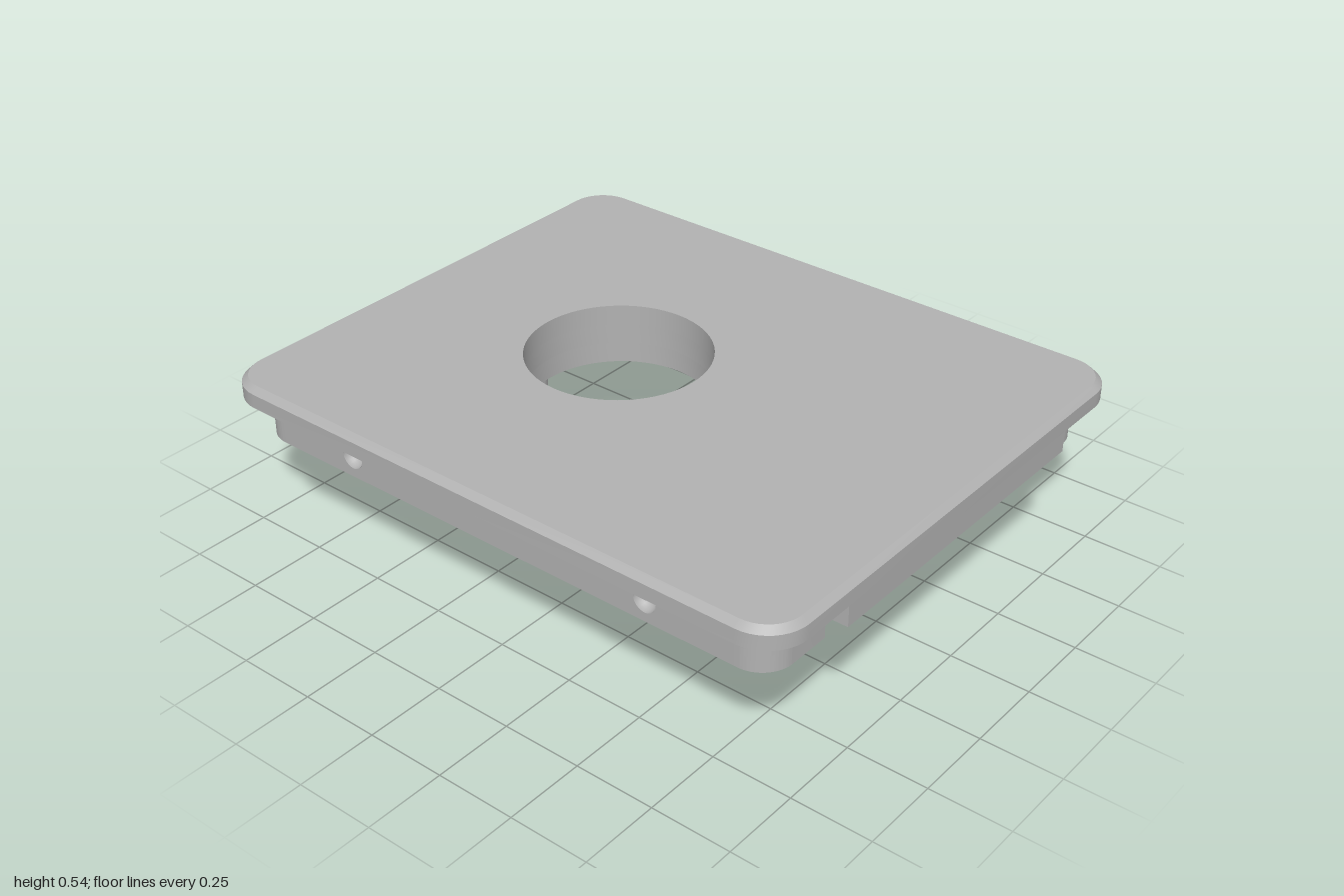
import * as THREE from 'three';
import { toCreasedNormals } from 'three/addons/utils/BufferGeometryUtils.js';

const PLATE_TOP = 0.542, PLATE_BOTTOM = 0.477, TAB_BOTTOM = 0.412, BODY_BOTTOM = 0.346;
const HOLE = { x: -0.2, r: 0.283 };
const BODY_X = 0.932, BODY_Z = 0.765, BODY_R = 0.1;
const STRIP_X = 0.82, STRIP_DEPTH = 0.045;
const DIMPLE = { r: 0.038, y: 0.412, xs: [-0.54, 0.534] };

// Points around a rounded rectangle in the x-z plane
function roundedRing(hx, hz, r, offset = 0, steps = 10) {
  const points = [];
  [[1, 1], [-1, 1], [-1, -1], [1, -1]].forEach(([sx, sz], corner) => {
    for (let i = 0; i <= steps; i++) {
      const a = (corner + i / steps) * Math.PI / 2;
      points.push(new THREE.Vector2(
        sx * (hx - r) + (r + offset) * Math.cos(a),
        sz * (hz - r) + (r + offset) * Math.sin(a)));
    }
  });
  return points;
}

// Wall swept around a rounded rectangle; profile is a list of [offset, y]
function loft(hx, hz, r, profile) {
  const positions = [], index = [];
  const rings = profile.map(([offset, y]) => {
    const ring = roundedRing(hx, hz, r, offset);
    ring.forEach(p => positions.push(p.x, y, p.y));
    return ring.length;
  });
  const n = rings[0];
  for (let k = 0; k < profile.length - 1; k++) {
    for (let i = 0; i < n; i++) {
      const a = k * n + i, b = k * n + (i + 1) % n;
      index.push(a, a + n, b, b, a + n, b + n);
    }
  }
  const geometry = new THREE.BufferGeometry();
  geometry.setAttribute('position', new THREE.Float32BufferAttribute(positions, 3));
  geometry.setIndex(index);
  return geometry;
}

function circlePath(x, y, r) {
  return new THREE.Path().absarc(x, y, r, 0, Math.PI * 2, true);
}

// Plan of the lower body; edge is where the middle of the left side ends
function bodyOutline(edge) {
  const W = BODY_X, D = BODY_Z, r = BODY_R, S = STRIP_X, N = D - STRIP_DEPTH, P = Math.PI;
  const s = new THREE.Shape();
  s.moveTo(-S, -N);
  s.lineTo(S, -N);
  s.lineTo(S, -D);
  s.absarc(W - r, -D + r, r, -P / 2, 0);
  s.lineTo(W, -0.53);
  s.lineTo(edge, -0.53);
  s.lineTo(edge, 0.53);
  s.lineTo(W, 0.53);
  s.absarc(W - r, D - r, r, 0, P / 2);
  s.lineTo(S, D);
  s.lineTo(S, N);
  s.lineTo(-S, N);
  s.lineTo(-S, D);
  s.absarc(-W + r, D - r, r, P / 2, P);
  s.absarc(-W + r, -D + r, r, P, P * 1.5);
  s.lineTo(-S, -D);
  s.holes.push(circlePath(HOLE.x, 0, HOLE.r));
  return s;
}

export function createModel() {
  const model = new THREE.Group();
  const grey = new THREE.MeshStandardMaterial({ color: 0xb2b2b2, side: THREE.DoubleSide });
  grey.name = 'grey';

  function add(name, geometry, parent = model) {
    const mesh = new THREE.Mesh(geometry, grey);
    mesh.name = name;
    parent.add(mesh);
    return mesh;
  }

  // Top plate with a chamfered rim and a round opening
  const plate = new THREE.Group();
  plate.name = 'topPlate';
  model.add(plate);
  add('plateRim', toCreasedNormals(
    loft(1, 0.83, 0.13, [[0, PLATE_BOTTOM], [0, 0.523], [-0.02, PLATE_TOP]]), 0.5), plate);
  [[PLATE_TOP, -0.02, -1, 'plateTop'], [PLATE_BOTTOM, 0, 1, 'plateUnderside']].forEach(([y, offset, turn, name]) => {
    const shape = new THREE.Shape(roundedRing(1, 0.83, 0.13, offset));
    shape.holes.push(circlePath(HOLE.x, 0, HOLE.r));
    add(name, new THREE.ShapeGeometry(shape, 32).rotateX(turn * Math.PI / 2).translate(0, y, 0), plate);
  });
  const wallHeight = PLATE_TOP - PLATE_BOTTOM;
  const wall = new THREE.CylinderGeometry(HOLE.r, HOLE.r, wallHeight, 64, 1, true);
  add('openingWall', wall.translate(HOLE.x, PLATE_BOTTOM + wallHeight / 2, 0), plate);

  // Lower body in two layers: the upper one reaches out as a tab, the lower one leaves a pocket
  [['bodyUpper', 1, PLATE_BOTTOM, TAB_BOTTOM], ['bodyLower', 0.58, TAB_BOTTOM, BODY_BOTTOM]].forEach(([name, edge, top, bottom]) => {
    const layer = new THREE.ExtrudeGeometry(bodyOutline(edge),
      { depth: top - bottom, bevelEnabled: false, curveSegments: 32 });
    add(name, toCreasedNormals(layer.rotateX(Math.PI / 2).translate(0, top, 0), 0.5));
  });

  // Front and back strips with round dimples
  [['front', 0], ['back', Math.PI]].forEach(([side, turn]) => {
    const group = new THREE.Group();
    group.name = side + 'Strip';
    group.rotation.y = turn;
    model.add(group);
    const flip = turn ? -1 : 1;
    const face = new THREE.Shape([
      new THREE.Vector2(-STRIP_X, BODY_BOTTOM), new THREE.Vector2(STRIP_X, BODY_BOTTOM),
      new THREE.Vector2(STRIP_X, PLATE_BOTTOM), new THREE.Vector2(-STRIP_X, PLATE_BOTTOM)]);
    DIMPLE.xs.forEach(x => face.holes.push(circlePath(x * flip, DIMPLE.y, DIMPLE.r)));
    const strip = new THREE.ExtrudeGeometry(face,
      { depth: STRIP_DEPTH, bevelEnabled: false, curveSegments: 24 });
    add(side + 'Face', toCreasedNormals(strip.translate(0, 0, BODY_Z - STRIP_DEPTH), 0.5), group);
    DIMPLE.xs.forEach(x => {
      const bowl = new THREE.SphereGeometry(DIMPLE.r, 24, 8, 0, Math.PI * 2, 0, Math.PI / 2);
      add(side + 'Dimple', bowl.rotateX(-Math.PI / 2).translate(x * flip, DIMPLE.y, BODY_Z), group);
    });
  });

  // Two legs with rounded ends, flaring into the body
  const fillet = 0.062, profile = [[0, 0]];
  for (let i = 0; i <= 8; i++) {
    const a = i / 8 * Math.PI / 2;
    profile.push([fillet * (1 - Math.cos(a)), BODY_BOTTOM - fillet + fillet * Math.sin(a)]);
  }
  [['rightLeg', -0.837], ['leftLeg', 0.436]].forEach(([name, x]) => {
    const leg = new THREE.Group();
    leg.name = name;
    model.add(leg);
    const sides = loft(0.067, 0.33, 0.055, profile).translate(x, 0, 0);
    // Trim the flare at the edge of the body
    const p = sides.attributes.position;
    for (let i = 0; i < p.count; i++) p.setX(i, Math.max(p.getX(i), -BODY_X));
    add(name + 'Sides', toCreasedNormals(sides, 0.6), leg);
    const foot = new THREE.ShapeGeometry(new THREE.Shape(roundedRing(0.067, 0.33, 0.055)));
    add(name + 'Foot', foot.rotateX(Math.PI / 2).translate(x, 0, 0), leg);
  });

  return model;
}
